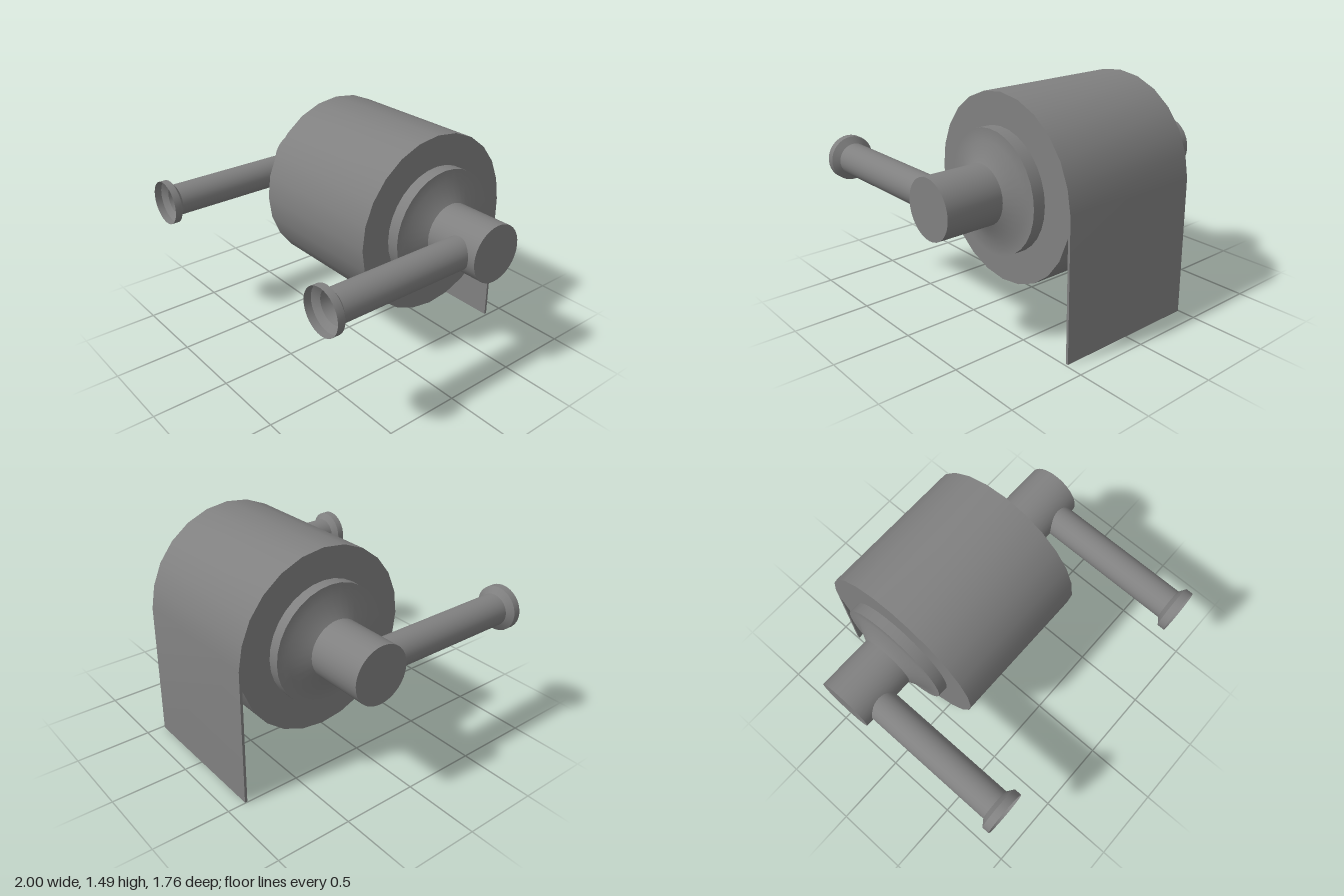
import * as THREE from 'three';
import { toCreasedNormals } from 'three/addons/utils/BufferGeometryUtils.js';

const CY = 0.91, CZ = -0.29; // roll axis

export function createModel() {
  const model = new THREE.Group();
  const grey = new THREE.MeshStandardMaterial({ color: 0x808080 });
  const thin = new THREE.MeshStandardMaterial({ color: 0x808080, side: THREE.DoubleSide });

  const add = (name, geometry, material, x, y, z) => {
    const mesh = new THREE.Mesh(toCreasedNormals(geometry, 0.52), material);
    mesh.name = name;
    mesh.position.set(x, y, z);
    model.add(mesh);
  };
  const lathe = (points, sides) =>
    new THREE.LatheGeometry(points.map(([r, h]) => new THREE.Vector2(r, h)), sides);

  // Paper roll with its loose sheet hanging at the back, one side outline
  const R = 0.583, sheetOut = 0.589, sheetIn = 0.572, sides = 24;
  const outline = [new THREE.Vector2(sheetOut, 0)];
  for (let i = 1; i < sides; i++) {
    const a = (i / sides) * Math.PI * 2;
    outline.push(new THREE.Vector2(R * Math.cos(a), R * Math.sin(a)));
  }
  outline.push(
    new THREE.Vector2(sheetIn, -0.13),
    new THREE.Vector2(sheetIn, -CY),
    new THREE.Vector2(sheetOut, -CY)
  );
  const roll = new THREE.ExtrudeGeometry(new THREE.Shape(outline), { depth: 0.98, bevelEnabled: false });
  roll.rotateY(Math.PI / 2);
  add('paperRoll', roll, grey, -0.495, CY, CZ);

  // Spindle: end rods, conical shoulders and flanges
  const half = [[0.383, 0.45], [0.383, 0.565], [0.305, 0.565], [0.186, 0.625], [0.186, 1], [0, 1]];
  const profile = [...half.map(([r, h]) => [r, -h]).reverse(), ...half];
  const spindle = lathe(profile, 32);
  spindle.rotateZ(-Math.PI / 2);
  add('spindle', spindle, grey, 0, CY, CZ);

  // Hollow wall arms with flared, open ends
  for (const [name, side] of [['leftArm', 1], ['rightArm', -1]]) {
    const arm = lathe([[0.104, -0.16], [0.104, 0.8], [0.146, 0.83], [0.146, 0.878]], 32);
    arm.rotateX(Math.PI / 2);
    add(name, arm, thin, side * 0.847, CY, 0);
  }

  return model;
}
